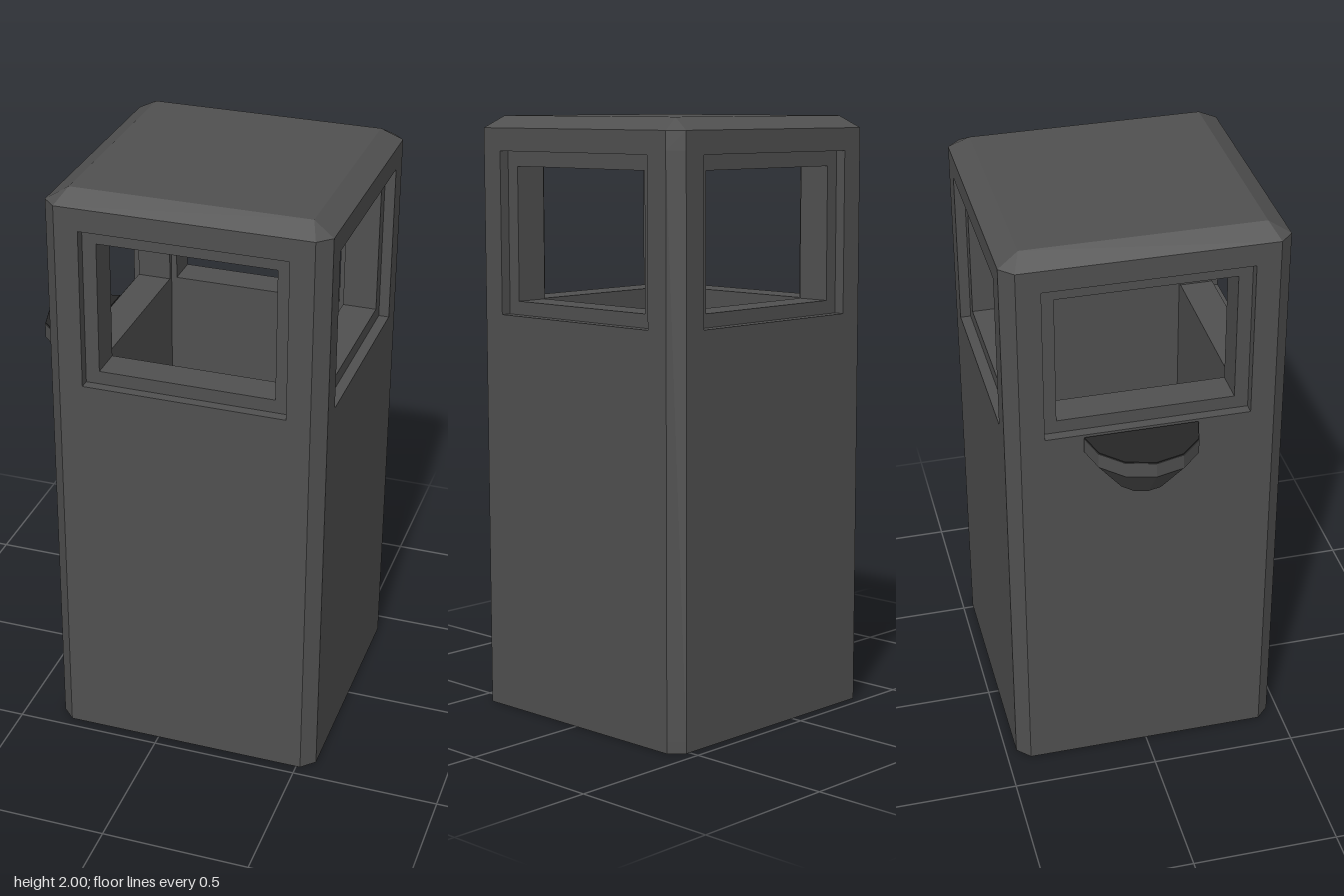
import * as THREE from 'three';
import { ConvexGeometry } from 'three/addons/geometries/ConvexGeometry.js';

const HALF = 0.463;   // half width of the bin
const FLAT = 0.419;   // half width of each face between the chamfered corners
const CENTER_X = 0.095;

// Plan outline with chamfered corners
const octagon = (y) => {
  const pts = [];
  for (const sx of [-1, 1]) for (const sz of [-1, 1]) {
    pts.push(new THREE.Vector3(sx * HALF, y, sz * FLAT), new THREE.Vector3(sx * FLAT, y, sz * HALF));
  }
  return pts;
};

const square = (y, h) => [[-h, -h], [h, -h], [h, h], [-h, h]].map(([x, z]) => new THREE.Vector3(x, y, z));

// Half ring of a twelve-sided bowl, bulging towards -x
const halfRing = (y, r) => {
  const pts = [];
  for (let i = 0; i <= 6; i++) {
    const a = Math.PI / 2 + (i * Math.PI) / 6;
    pts.push(new THREE.Vector3(-0.374 + r * Math.cos(a), y, -0.025 + r * Math.sin(a)));
  }
  return pts;
};

// Wall panel with a rectangular opening, its outer face at z = front
function panelGeometry(halfWidth, y0, y1, holeHalf, holeY0, holeY1, front, depth) {
  const shape = new THREE.Shape([
    new THREE.Vector2(-halfWidth, y0), new THREE.Vector2(halfWidth, y0),
    new THREE.Vector2(halfWidth, y1), new THREE.Vector2(-halfWidth, y1),
  ]);
  shape.holes.push(new THREE.Path([
    new THREE.Vector2(-holeHalf, holeY0), new THREE.Vector2(-holeHalf, holeY1),
    new THREE.Vector2(holeHalf, holeY1), new THREE.Vector2(holeHalf, holeY0),
  ]));
  return new THREE.ExtrudeGeometry(shape, { depth, bevelEnabled: false }).translate(0, 0, front - depth);
}

export function createModel() {
  const group = new THREE.Group();
  const grey = new THREE.MeshStandardMaterial({ color: 0x505050 });
  grey.name = 'darkGrey';
  const black = new THREE.MeshStandardMaterial({ color: 0x262626 });
  black.name = 'ashBlack';

  const add = (parent, name, geometry, material = grey) => {
    const mesh = new THREE.Mesh(geometry, material);
    mesh.name = name;
    parent.add(mesh);
    return mesh;
  };

  const bin = new THREE.Group();
  bin.name = 'bin';
  bin.position.x = CENTER_X;
  group.add(bin);

  const floorTop = 0.04, wallTop = 1.9, recess = 0.035;

  // Floor slab and bevelled lid
  add(bin, 'base', new ConvexGeometry([...octagon(0), ...octagon(floorTop)]));
  add(bin, 'lid', new ConvexGeometry([...octagon(wallTop), ...octagon(1.96), ...square(2, 0.393)]));

  // Four walls: outer skin with a wide recess, inner wall with the opening
  const skin = panelGeometry(FLAT, floorTop, wallTop, 0.34, 1.345, 1.885, HALF, recess);
  const inner = panelGeometry(FLAT, floorTop, wallTop, 0.294, 1.39, 1.835, HALF - recess, 0.115);
  // Chamfered corner post
  const postOutline = [[FLAT, HALF], [HALF, FLAT], [FLAT, FLAT]];
  const post = new ConvexGeometry([floorTop, wallTop].flatMap(
    (y) => postOutline.map(([x, z]) => new THREE.Vector3(x, y, z))));

  for (let i = 0; i < 4; i++) {
    const side = new THREE.Group();
    side.name = ['frontSide', 'leftSide', 'backSide', 'rightSide'][i];
    side.rotation.y = (i * Math.PI) / 2;
    add(side, 'outerPanel', skin);
    add(side, 'openingFrame', inner);
    add(side, 'cornerPost', post);
    bin.add(side);
  }

  // Half-round ashtray on the right side
  const ashtray = new THREE.Group();
  ashtray.name = 'ashtray';
  add(ashtray, 'ashtrayBowl', new ConvexGeometry(
    [...halfRing(1.336, 0.19), ...halfRing(1.285, 0.19), ...halfRing(1.16, 0.09)]));
  add(ashtray, 'ashtrayTop', new ConvexGeometry([...halfRing(1.336, 0.188), ...halfRing(1.34, 0.188)]), black);
  group.add(ashtray);

  return group;
}
